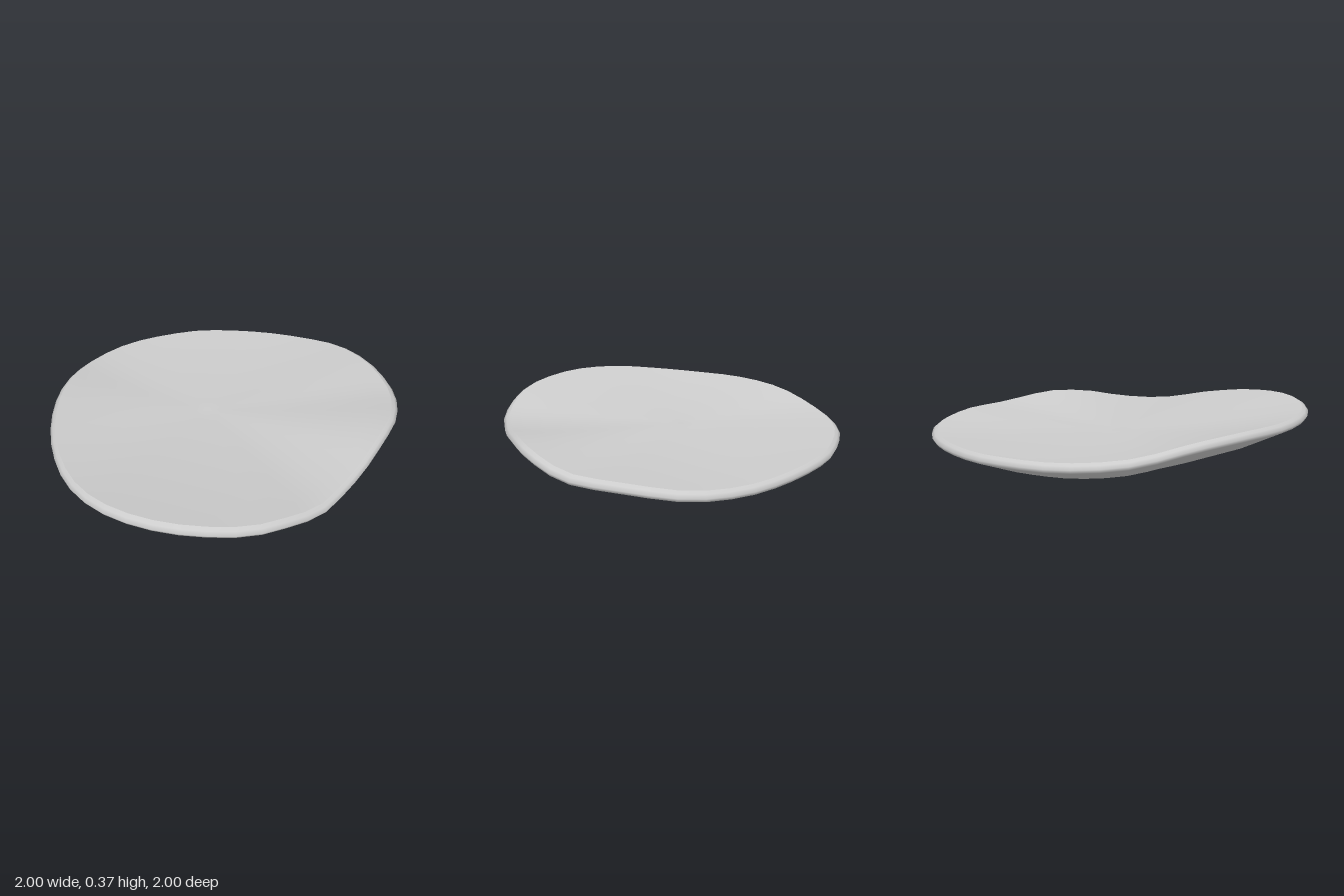
import * as THREE from 'three';

// Rim line, clockwise seen from above: x, top height, z
const RIM = [
  [-0.13, 0.225, -1.0], [0.07, 0.22, -1.0], [0.41, 0.212, -0.91], [0.67, 0.21, -0.78],
  [0.88, 0.225, -0.59], [0.98, 0.25, -0.31], [0.99, 0.257, 0], [0.94, 0.28, 0.16],
  [0.86, 0.305, 0.32], [0.69, 0.298, 0.51], [0.55, 0.27, 0.64], [0.39, 0.255, 0.77],
  [0.24, 0.262, 0.88], [0.07, 0.298, 0.95], [-0.11, 0.325, 0.995], [-0.29, 0.347, 0.99],
  [-0.57, 0.365, 0.9], [-0.8, 0.36, 0.72], [-0.94, 0.342, 0.48], [-1.0, 0.332, 0.16],
  [-0.98, 0.332, -0.15], [-0.89, 0.312, -0.46], [-0.72, 0.258, -0.74], [-0.46, 0.235, -0.93],
].map((p) => new THREE.Vector3(...p));

const CENTRE = { x: -0.12, z: -0.1 };
const SEGMENTS = 48;
const LIP_INNER = 0.967;
const LIP_OUTER = 0.99;
const LIP_DROP = 0.045;

const rimLoop = new THREE.CatmullRomCurve3(RIM, true).getSpacedPoints(SEGMENTS).slice(0, SEGMENTS);
const steps = (n) => Array.from({ length: n + 1 }, (_, i) => i / n);

// Shallow top: a tilted plane that curves up into the wave of the rim
const HOLLOW = 0.228;
const tilt = (dx, dz) => -0.035 * dx + 0.05 * dz;
const topRings = steps(12).map((t) => ({
  r: LIP_INNER * t,
  y: (top, dx, dz) => {
    const slope = tilt(dx, dz);
    return HOLLOW + slope * t + (top - slope - HOLLOW) * t ** 2;
  },
}));

// Rounded lip
const lipRings = [[LIP_INNER, 0], [0.985, 0.011], [1, 0.027], [LIP_OUTER, LIP_DROP]].map(
  ([r, drop]) => ({ r, y: (top) => top - drop }));

// Underside: rises in three slopes, staying low for longer towards the left
const undersideRings = [
  [0.77, (cos) => 0.58 - 0.08 * cos],
  [0.5, (cos) => 0.35 - 0.2 * Math.max(0, cos) ** 2],
  [0, () => 0],
].map(([t, share]) => ({
  r: LIP_OUTER * t,
  y: (top, dx, dz) => (top - LIP_DROP) * share(dx / Math.hypot(dx, dz)),
}));

// Joins scaled copies of the rim loop into a smooth skin
function skin(name, rings, poleNormalY, material) {
  const positions = [];
  const index = [];
  for (const ring of rings) {
    for (const p of rimLoop) {
      const dx = p.x - CENTRE.x, dz = p.z - CENTRE.z;
      positions.push(CENTRE.x + dx * ring.r, ring.y(p.y, dx, dz), CENTRE.z + dz * ring.r);
    }
  }
  for (let i = 0; i < rings.length - 1; i++) {
    for (let j = 0; j < SEGMENTS; j++) {
      const k = (j + 1) % SEGMENTS;
      const a = i * SEGMENTS + j, b = i * SEGMENTS + k;
      const c = a + SEGMENTS, d = b + SEGMENTS;
      if (rings[i + 1].r > 0) index.push(a, d, c);
      if (rings[i].r > 0) index.push(a, b, d);
    }
  }
  const geometry = new THREE.BufferGeometry();
  geometry.setAttribute('position', new THREE.Float32BufferAttribute(positions, 3));
  geometry.setIndex(index);
  geometry.computeVertexNormals();
  // One shared normal where the ring closes to a point
  const pole = rings.findIndex((ring) => ring.r === 0) * SEGMENTS;
  for (let j = 0; j < SEGMENTS; j++) {
    geometry.attributes.normal.setXYZ(pole + j, 0, poleNormalY, 0);
  }
  const mesh = new THREE.Mesh(geometry, material);
  mesh.name = name;
  return mesh;
}

export function createModel() {
  const group = new THREE.Group();
  group.name = 'wavyDish';
  const material = new THREE.MeshStandardMaterial({ color: 0xcccccc });
  group.add(
    skin('topSurface', topRings, 1, material),
    // The lip and underside share one skin so their seam stays smooth
    skin('lipAndUnderside', [...lipRings, ...undersideRings], -1, material),
  );
  return group;
}
